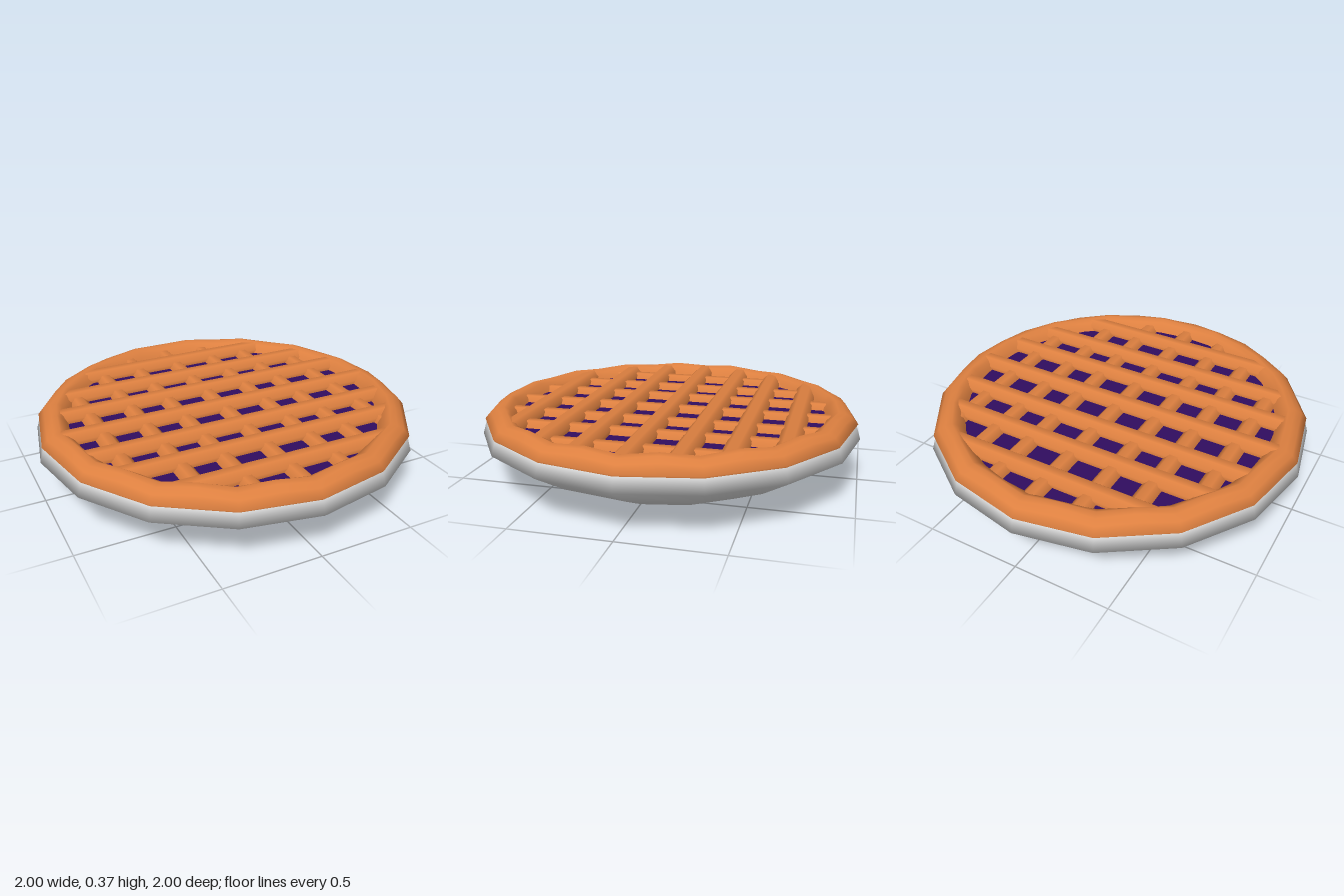
import * as THREE from 'three';
import { mergeVertices } from 'three/addons/utils/BufferGeometryUtils.js';

const mat = (name, color) => {
  const m = new THREE.MeshStandardMaterial({ color });
  m.name = name;
  return m;
};

const lathe = (profile, segments) =>
  new THREE.LatheGeometry(profile.map(([r, y]) => new THREE.Vector2(r, y)), segments);

// Weld the seam so the normals are smooth all the way round
function smooth(geometry) {
  geometry.deleteAttribute('uv');
  geometry.deleteAttribute('normal');
  const welded = mergeVertices(geometry, 1e-4);
  welded.computeVertexNormals();
  return welded;
}

// Crust ring: straight-edged outside, crimped along the crest
function crustGeometry() {
  const g = lathe([
    [0.965, 0.27], [0.985, 0.30], [0.955, 0.343], [0.92, 0.365], [0.885, 0.372],
    [0.858, 0.357], [0.83, 0.322], [0.81, 0.28],
  ], 32);
  const p = g.attributes.position;
  for (let i = 0; i < p.count; i++) {
    const x = p.getX(i), y = p.getY(i), z = p.getZ(i);
    const r = Math.hypot(x, z);
    const mid = (1 - Math.cos(Math.atan2(x, z) * 16)) / 2; // 1 halfway along each side
    const outer = THREE.MathUtils.smoothstep(r, 0.82, 0.93);
    const k = 1 - mid * outer * (1 - Math.cos(Math.PI / 16));
    const dip = (1 - mid) * 0.015 * THREE.MathUtils.smoothstep(y, 0.31, 0.37);
    p.setXYZ(i, x * k, y - dip, z * k);
  }
  return smooth(g);
}

export function createModel() {
  const pie = new THREE.Group();
  pie.name = 'pie';
  const dishMat = mat('dish white', 0xe4e4e4);
  const crustMat = mat('baked crust', 0xdd8040);
  const fillMat = mat('berry filling', 0x310d60);

  const add = (parent, name, geometry, material) => {
    const mesh = new THREE.Mesh(geometry, material);
    mesh.name = name;
    parent.add(mesh);
    return mesh;
  };

  // Dish with a closed flat base
  add(pie, 'dish', smooth(lathe([
    [0, 0], [0.59, 0], [0.82, 0.11], [1, 0.22], [0.975, 0.302], [0.95, 0.285],
  ], 16)), dishMat);

  add(pie, 'crustRim', crustGeometry(), crustMat);

  const filling = add(pie, 'filling', new THREE.CircleGeometry(0.85, 32), fillMat);
  filling.rotation.x = -Math.PI / 2;
  filling.position.y = 0.305;

  // Lattice: strips across, with slightly lower strips from front to back
  const lattice = new THREE.Group();
  lattice.name = 'lattice';
  pie.add(lattice);
  const offsets = [-0.68, -0.453, -0.237, 0, 0.237, 0.447, 0.675];
  const strip = (name, radius, length) => add(lattice, name,
    new THREE.CylinderGeometry(radius, radius, length, 8, 1, false, Math.PI / 8), crustMat);
  for (const d of offsets) {
    const length = 2 * Math.sqrt(0.885 ** 2 - d * d);
    const across = strip('crossStrip', 0.06, length);
    across.rotation.z = Math.PI / 2;
    across.position.set(0, 0.302, d);
    const along = strip('lengthStrip', 0.055, length);
    along.rotation.x = Math.PI / 2;
    along.position.set(d, 0.284, 0);
  }
  return pie;
}
